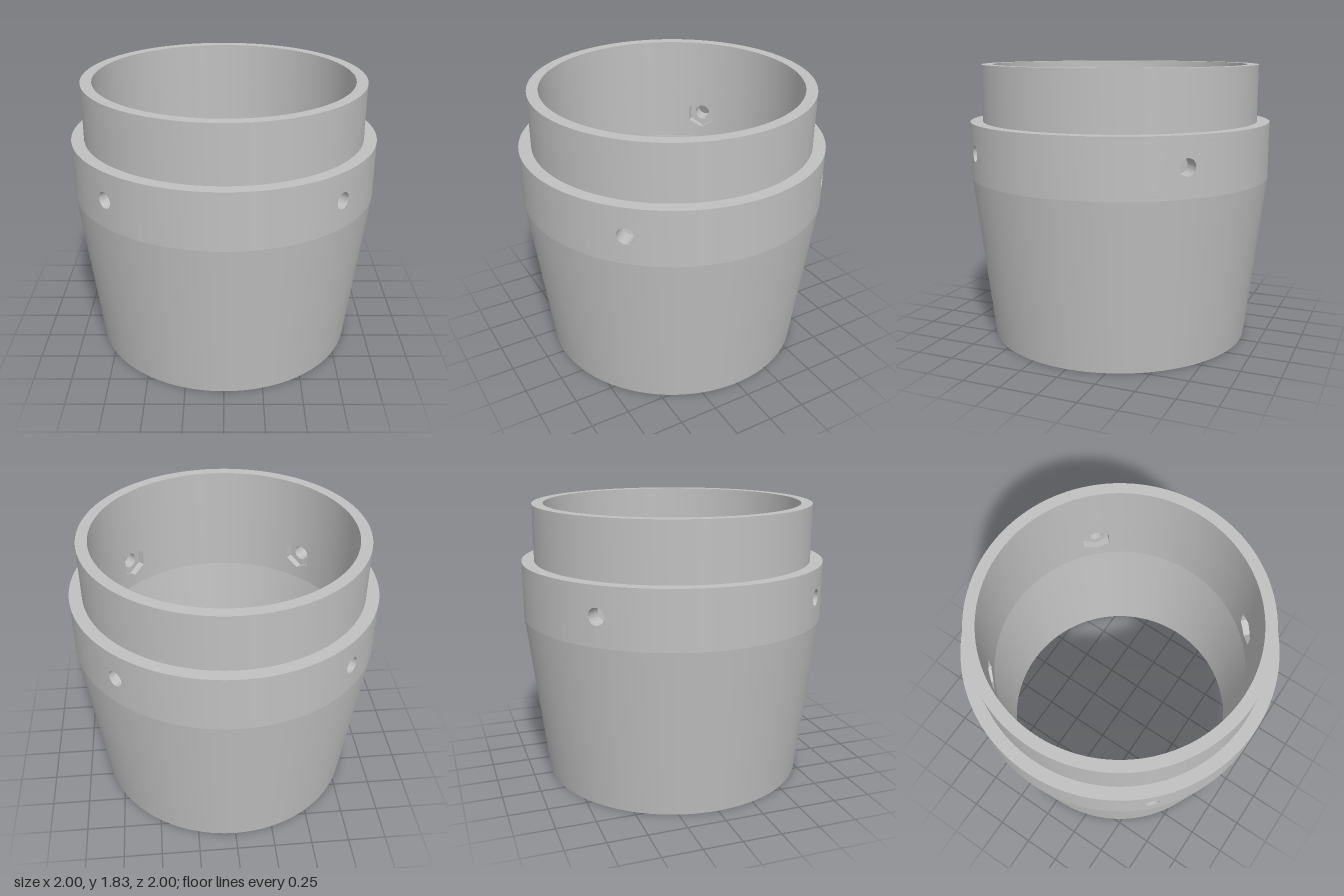
import * as THREE from 'three';
import { toCreasedNormals } from 'three/addons/utils/BufferGeometryUtils.js';

const SEG = 144;              // facets round the whole body
const OUT = 1, IN = 0.845;    // collar radii
const LOW = 1.09, HIGH = 1.46, TOP = 1.83;
const MID = (LOW + HIGH) / 2, HALF = (HIGH - LOW) / 2;
const PATCH = Math.PI / 12;   // half angle of the wall panel round each screw hole
const N = 48;                 // points in each hole outline
const HOLE = 0.053, NUT = 0.103, SEAT = 0.89;

// Surface of revolution; profile points run so that the surface faces outward
function turned(points, start = 0, length = Math.PI * 2) {
  const profile = points.map(([r, y]) => new THREE.Vector2(r, y));
  const segments = Math.round(SEG * length / (Math.PI * 2));
  return toCreasedNormals(new THREE.LatheGeometry(profile, segments, start, length), 0.08);
}

// Skin between successive closed outlines
function loft(rings, crease) {
  const position = rings.flat(2), index = [];
  for (let k = 0; k < rings.length - 1; k++) {
    for (let i = 0; i < N; i++) {
      const j = (i + 1) % N;
      const a = k * N + i, b = k * N + j, c = a + N, d = b + N;
      index.push(a, c, b, b, c, d);
    }
  }
  const geo = new THREE.BufferGeometry();
  geo.setAttribute('position', new THREE.Float32BufferAttribute(position, 3));
  geo.setIndex(index);
  return toCreasedNormals(geo, crease);
}

const outline = (f) => Array.from({ length: N }, (_, i) => f(i / N * Math.PI * 2));
const circle = (t) => [HOLE * Math.cos(t), HOLE * Math.sin(t)];
const hexagon = (t) => {
  const sector = Math.PI / 3;
  const off = ((t + sector / 2) % sector) - sector / 2;
  const r = NUT * Math.cos(Math.PI / 6) / Math.cos(off);
  return [r * Math.cos(t), r * Math.sin(t)];
};
const edge = (v) => THREE.MathUtils.clamp(4 / Math.PI * Math.asin(v), -1, 1);

// Outline on a cylinder, blended from the hole (s = 0) to the panel border (s = 1)
const onWall = (shape, R, s) => outline((t) => {
  const [x, y] = shape(t);
  const u = THREE.MathUtils.lerp(Math.asin(x / R), edge(Math.cos(t)) * PATCH, s);
  const v = THREE.MathUtils.lerp(y, edge(Math.sin(t)) * HALF, s);
  return [R * Math.sin(u), MID + v, R * Math.cos(u)];
});
const onPlane = (shape, z) => outline((t) => {
  const [x, y] = shape(t);
  return [x, MID + y, z];
});

export function createModel() {
  const model = new THREE.Group();
  model.name = 'tubeAdapter';
  const grey = new THREE.MeshStandardMaterial({ color: 0xc0c0c0 });
  grey.name = 'grey';

  const add = (parent, name, geometry) => {
    const mesh = new THREE.Mesh(geometry, grey);
    mesh.name = name;
    parent.add(mesh);
  };

  // Tapered skirt: ledge under the collar, inner wall, bottom rim, outer wall
  add(model, 'taperedSkirt', turned([[IN, LOW], [0.955, LOW], [0.833, 0], [0.873, 0], [OUT, LOW]]));

  // Upper neck: shoulder, outer wall, top rim, inner wall
  add(model, 'upperNeck', turned([[OUT, HIGH], [0.918, HIGH], [0.918, TOP], [IN, TOP], [IN, HIGH]]));

  // Collar: four plain arcs alternating with four panels bored for a screw and nut
  const steps = [0, 0.2, 0.4, 0.6, 0.8, 1];
  const outerPanel = loft(steps.map((s) => onWall(circle, OUT, s)), 0.08);
  const innerPanel = loft([...steps].reverse().map((s) => onWall(hexagon, IN, s)), 0.08);
  const nutWall = loft([onWall(hexagon, IN, 0), onPlane(hexagon, SEAT)], 0.3);
  const nutSeat = loft([onPlane(hexagon, SEAT), onPlane(circle, SEAT)], 0.3);
  const screwHole = loft([onPlane(circle, SEAT), onWall(circle, OUT, 0)], 0.3);
  const arc = Math.PI / 2 - 2 * PATCH;
  const outerArc = turned([[OUT, LOW], [OUT, HIGH]], PATCH, arc);
  const innerArc = turned([[IN, HIGH], [IN, LOW]], PATCH, arc);

  for (let i = 0; i < 4; i++) {
    const quarter = new THREE.Group();
    quarter.name = 'collarQuarter' + (i + 1);
    quarter.rotation.y = Math.PI / 4 + i * Math.PI / 2;
    add(quarter, 'outerPanel', outerPanel);
    add(quarter, 'innerPanel', innerPanel);
    add(quarter, 'nutPocketWall', nutWall);
    add(quarter, 'nutSeat', nutSeat);
    add(quarter, 'screwHole', screwHole);
    add(quarter, 'outerArc', outerArc);
    add(quarter, 'innerArc', innerArc);
    model.add(quarter);
  }
  return model;
}
